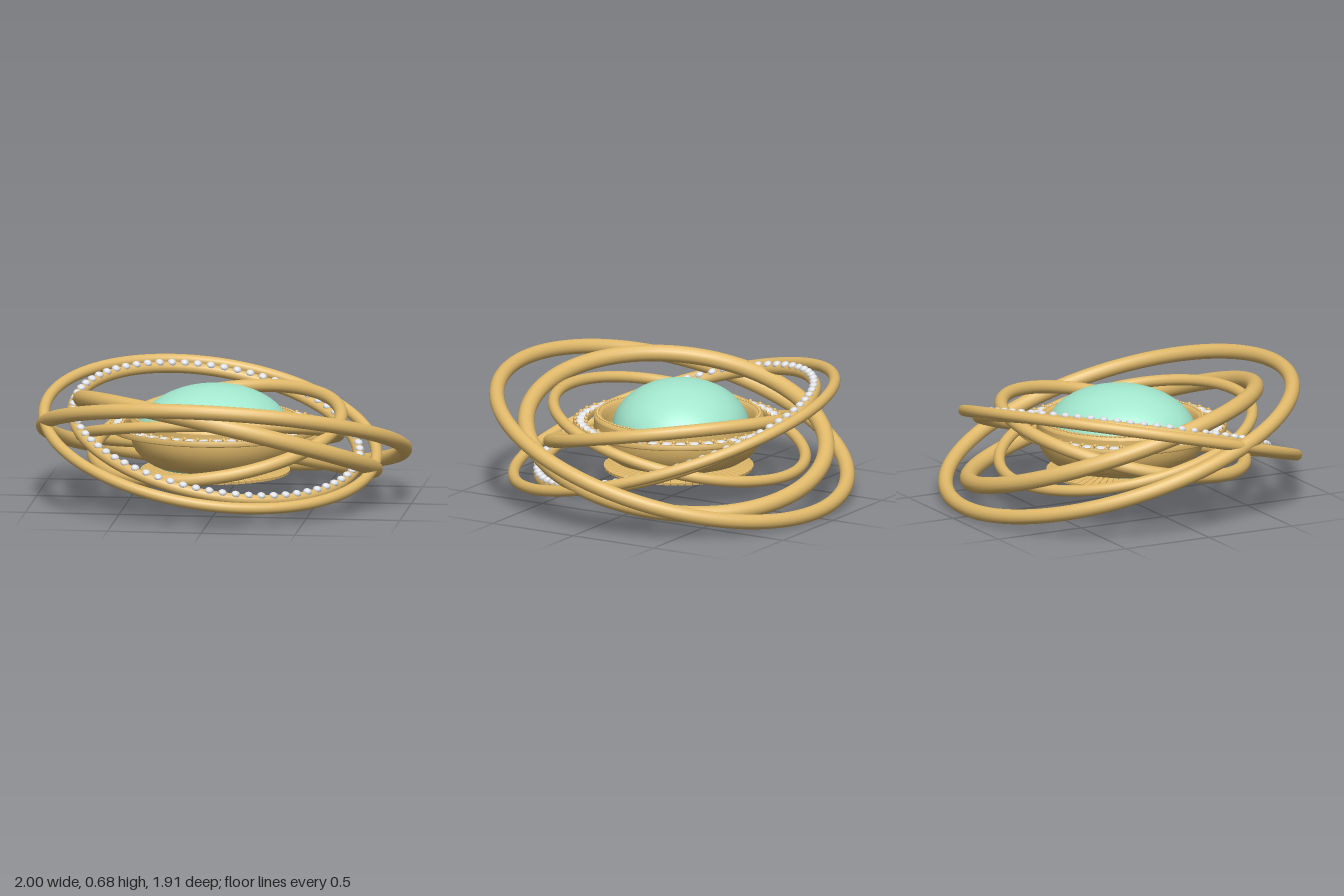
import * as THREE from 'three';
import { mergeGeometries } from 'three/addons/utils/BufferGeometryUtils.js';

const mat = (name, color, side = THREE.FrontSide) => {
  const m = new THREE.MeshStandardMaterial({ color, side });
  m.name = name;
  return m;
};

export function createModel() {
  const gold = mat('gold', 0xe0b96a, THREE.DoubleSide);
  const gem = mat('mint stone', 0xa3e8cf);
  const crystal = mat('crystal', 0xe4e6ec);
  const model = new THREE.Group();

  const add = (parent, name, geometry, material) => {
    const mesh = new THREE.Mesh(geometry, material);
    mesh.name = name;
    parent.add(mesh);
    return mesh;
  };

  // Copies of a geometry spaced evenly round the y axis
  const around = (geometry, count, radius, y, phase = 0) => {
    const copies = [];
    for (let i = 0; i < count; i++) {
      copies.push(geometry.clone().translate(radius, y, 0)
        .rotateY(((i + phase) / count) * Math.PI * 2));
    }
    return mergeGeometries(copies);
  };

  const lathe = (points) =>
    new THREE.LatheGeometry(points.map(([r, y]) => new THREE.Vector2(r, y)), 96);

  // Orbit ring lying in the plane y = cy + slopeX * x + slopeZ * z
  const orbit = (name, [cx, cy, cz], radius, tube, slopeX, slopeZ) => {
    const group = new THREE.Group();
    group.name = name;
    group.position.set(cx, cy, cz);
    const normal = new THREE.Vector3(-slopeX, 1, -slopeZ).normalize();
    group.quaternion.setFromUnitVectors(new THREE.Vector3(0, 1, 0), normal);
    add(group, name + 'Band',
      new THREE.TorusGeometry(radius, tube, 16, 128).rotateX(Math.PI / 2), gold);
    model.add(group);
    return group;
  };

  orbit('outerRing', [0, 0.34, 0], 0.96, 0.04, -0.03, 0.325);
  orbit('wideThinRing', [-0.07, 0.36, 0.03], 0.89, 0.03, -0.17, -0.25);
  orbit('thickRing', [0.015, 0.35, -0.035], 0.8, 0.045, -0.216, 0.25);
  orbit('innerRing', [-0.035, 0.36, 0.005], 0.665, 0.035, 0.14, -0.2);
  orbit('slimRing', [-0.075, 0.35, 0], 0.685, 0.03, 0.03, 0.25);

  // Crystal-set ring
  const setRing = orbit('crystalRing', [-0.045, 0.355, -0.005], 0.77, 0.03, -0.21, -0.25);
  const ringStone = new THREE.IcosahedronGeometry(0.024, 1).scale(1, 0.75, 1);
  add(setRing, 'ringCrystals', around(ringStone, 68, 0.77, 0.029), crystal);

  // Central setting
  const center = new THREE.Group();
  center.name = 'centralSetting';
  center.position.set(-0.048, 0, -0.012);
  model.add(center);

  // Domed stone, slightly oval
  const stone = add(center, 'domedStone', new THREE.SphereGeometry(1, 64, 40), gem);
  stone.scale.set(0.415, 0.257, 0.365);
  stone.rotation.y = 0.5;
  stone.position.set(-0.012, 0.364, -0.006);

  // Bowl and rim holding the stone
  add(center, 'bowl', lathe([
    [0.28, 0.185], [0.34, 0.2], [0.39, 0.232], [0.425, 0.275], [0.445, 0.32],
    [0.45, 0.36], [0.45, 0.43],
  ]), gold);
  add(center, 'bezelRim', lathe([
    [0.45, 0.43], [0.446, 0.442], [0.435, 0.447], [0.418, 0.447], [0.405, 0.435],
    [0.395, 0.4], [0.39, 0.36],
  ]), gold);
  add(center, 'rimBeads',
    around(new THREE.SphereGeometry(0.008, 8, 6), 110, 0.432, 0.449), gold);

  // Halo tray with crystals and prong beads
  add(center, 'haloTray', lathe([
    [0.487, 0.38], [0.556, 0.38], [0.56, 0.387], [0.56, 0.41], [0.552, 0.412],
    [0.547, 0.398], [0.496, 0.398], [0.491, 0.412], [0.483, 0.41], [0.483, 0.387], [0.487, 0.38],
  ]), gold);
  const haloStone = new THREE.SphereGeometry(0.032, 14, 10).scale(1, 0.6, 1);
  add(center, 'haloCrystals', around(haloStone, 44, 0.521, 0.399), crystal);
  const prong = new THREE.SphereGeometry(0.011, 8, 6);
  for (const r of [0.493, 0.549]) {
    add(center, 'haloProngs', around(prong, 44, r, 0.41, 0.5), gold);
  }

  // Flared pleated skirt under the bowl, each pleat widening outwards
  add(center, 'skirtBase', lathe([[0.25, 0.178], [0.39, 0.158]]), gold);
  const pleat = new THREE.BoxGeometry(0.15, 0.014, 0.034);
  const p = pleat.attributes.position;
  for (let i = 0; i < p.count; i++) {
    if (p.getX(i) < 0) p.setZ(i, p.getZ(i) * 0.62);
  }
  pleat.rotateZ(-0.14);
  add(center, 'skirtPleats', around(pleat, 64, 0.322, 0.168), gold);

  return model;
}
